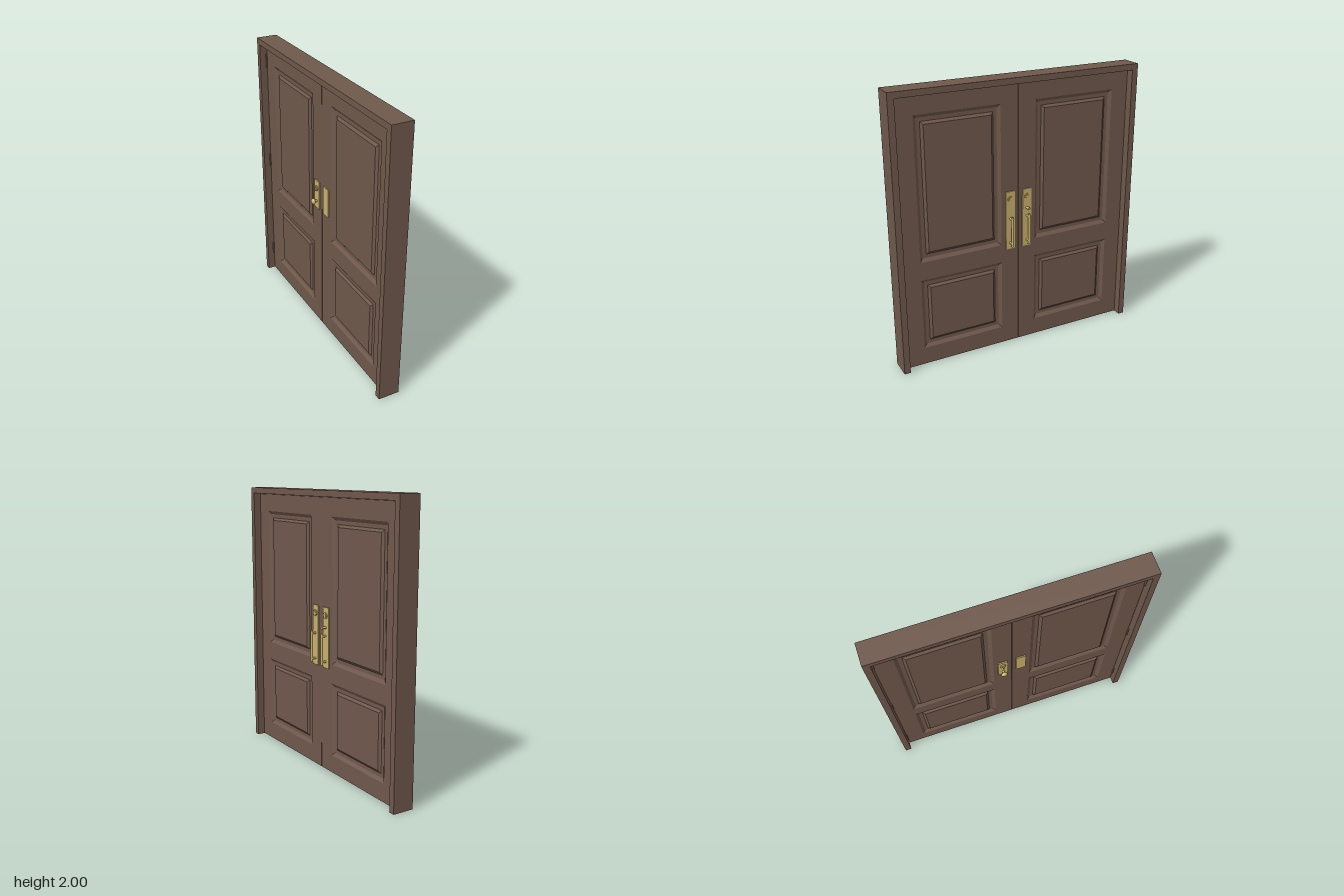
import * as THREE from 'three';

const wood = new THREE.MeshStandardMaterial({ color: 0x6f584c });
wood.name = 'brown wood';
const brass = new THREE.MeshStandardMaterial({ color: 0xc9b06c });
brass.name = 'brass';

const DOOR = 0.024; // half thickness of a leaf
const PANELS = [[0.8, 1.825], [0.133, 0.665]]; // bottom and top of each panel
const INNER = 0.133, OUTER = 0.748; // sides of each panel, from the meeting line

function add(parent, name, geometry, material, x = 0, y = 0, z = 0) {
  const mesh = new THREE.Mesh(geometry, material);
  mesh.name = name;
  mesh.position.set(x, y, z);
  parent.add(mesh);
  return mesh;
}

function rectangle(Type, x0, y0, x1, y1) {
  const path = new Type();
  path.moveTo(x0, y0).lineTo(x1, y0).lineTo(x1, y1).lineTo(x0, y1).closePath?.();
  return path;
}

function rectPath(Type, x0, y0, x1, y1) {
  return new Type([[x0, y0], [x1, y0], [x1, y1], [x0, y1]].map(p => new THREE.Vector2(...p)));
}

// Raised panel: nested rectangles, each given as inset and depth
function panelGeometry(w, h) {
  const steps = [[0, 0], [0.023, -0.016], [0.05, -0.016], [0.068, -0.002]];
  const loops = steps.map(([inset, z]) => {
    const a = w / 2 - inset, b = h / 2 - inset;
    return [[-a, -b, z], [a, -b, z], [a, b, z], [-a, b, z]];
  });
  const points = [];
  const quad = (a, b, c, d) => points.push(...a, ...b, ...c, ...a, ...c, ...d);
  for (let i = 0; i < loops.length - 1; i++) {
    for (let j = 0; j < 4; j++) {
      const k = (j + 1) % 4;
      quad(loops[i][j], loops[i][k], loops[i + 1][k], loops[i + 1][j]);
    }
  }
  quad(...loops[loops.length - 1]);
  const geometry = new THREE.BufferGeometry();
  geometry.setAttribute('position', new THREE.Float32BufferAttribute(points, 3));
  geometry.computeVertexNormals();
  return geometry;
}

// Round part whose axis points out of the door
function disc(radius, length) {
  return new THREE.CylinderGeometry(radius, radius, length, 24).rotateX(Math.PI / 2);
}

function makeLeaf(side) {
  const leaf = new THREE.Group();
  leaf.name = side < 0 ? 'leftLeaf' : 'rightLeaf';
  const xs = [0.002 * side, 0.876 * side].sort((a, b) => a - b);
  const ps = [INNER * side, OUTER * side].sort((a, b) => a - b);
  const shape = rectPath(THREE.Shape, xs[0], 0.005, xs[1], 1.952);
  for (const [y0, y1] of PANELS) shape.holes.push(rectPath(THREE.Path, ps[0], y0, ps[1], y1));
  add(leaf, 'stilesAndRails',
    new THREE.ExtrudeGeometry(shape, { depth: 2 * DOOR, bevelEnabled: false }), wood, 0, 0, -DOOR);

  // Panels on both faces
  for (const [y0, y1] of PANELS) {
    const geometry = panelGeometry(OUTER - INNER, y1 - y0);
    const x = side * (INNER + OUTER) / 2, y = (y0 + y1) / 2;
    add(leaf, 'outerPanel', geometry, wood, x, y, DOOR);
    add(leaf, 'innerPanel', geometry, wood, x, y, -DOOR).rotation.y = Math.PI;
  }

  // Hinges on the inner face
  for (const y of [0.2, 1.02, 1.83]) {
    add(leaf, 'hinge', new THREE.CylinderGeometry(0.006, 0.006, 0.1, 12), wood, side * 0.876, y, -DOOR - 0.004);
  }
  return leaf;
}

function makeHardware(side) {
  const set = new THREE.Group();
  set.name = 'handleSet';
  set.position.x = side * 0.066;

  // Outer plate, lock cylinder and pull
  add(set, 'outerPlate', new THREE.BoxGeometry(0.069, 0.435, 0.008), brass, 0, 0.98, DOOR + 0.004);
  add(set, 'lockCylinder', disc(0.022, 0.008), brass, 0, 1.14, DOOR + 0.011);
  add(set, 'keyway', disc(0.014, 0.005), brass, 0, 1.14, DOOR + 0.016);
  add(set, 'pullBar', new THREE.CylinderGeometry(0.0095, 0.0095, 0.225, 16), brass, 0, 0.9025, 0.065);
  for (const y of [0.81, 0.995]) {
    add(set, 'pullPost', disc(0.008, 0.04), brass, 0, y, 0.045);
  }

  // Short inner plate
  add(set, 'innerPlate', new THREE.BoxGeometry(0.069, 0.215, 0.008), brass, 0, 1.09, -DOOR - 0.004);

  // The active leaf has a latch outside, a turn and a knob inside
  if (side > 0) {
    const latch = add(set, 'thumbLatch', disc(0.012, 0.036), brass, 0, 1.055, DOOR + 0.024);
    latch.scale.y = 0.7;
    add(set, 'turnBase', disc(0.02, 0.008), brass, 0, 1.14, -DOOR - 0.012);
    add(set, 'thumbTurn', new THREE.BoxGeometry(0.008, 0.03, 0.014), brass, 0, 1.14, -DOOR - 0.022);
    add(set, 'knobStem', disc(0.009, 0.03), brass, 0, 1.04, -DOOR - 0.02);
    const knob = add(set, 'knob', new THREE.SphereGeometry(0.022, 24, 16), brass, 0, 1.04, -DOOR - 0.036);
    knob.scale.z = 0.65;
  }
  return set;
}

export function createModel() {
  const model = new THREE.Group();
  model.name = 'doubleDoor';
  const door = new THREE.Group();
  door.name = 'doorAssembly';
  door.rotation.y = Math.PI / 2; // the outer face looks along +x
  model.add(door);

  // Frame: two jambs and a head
  const outline = [[-0.925, 0], [-0.88, 0], [-0.88, 1.957], [0.88, 1.957],
    [0.88, 0], [0.925, 0], [0.925, 2], [-0.925, 2]];
  const frame = new THREE.Shape(outline.map(p => new THREE.Vector2(...p)));
  add(door, 'frame', new THREE.ExtrudeGeometry(frame, { depth: 0.154, bevelEnabled: false }), wood, 0, 0, -0.077);

  for (const side of [-1, 1]) door.add(makeLeaf(side), makeHardware(side));
  return model;
}
